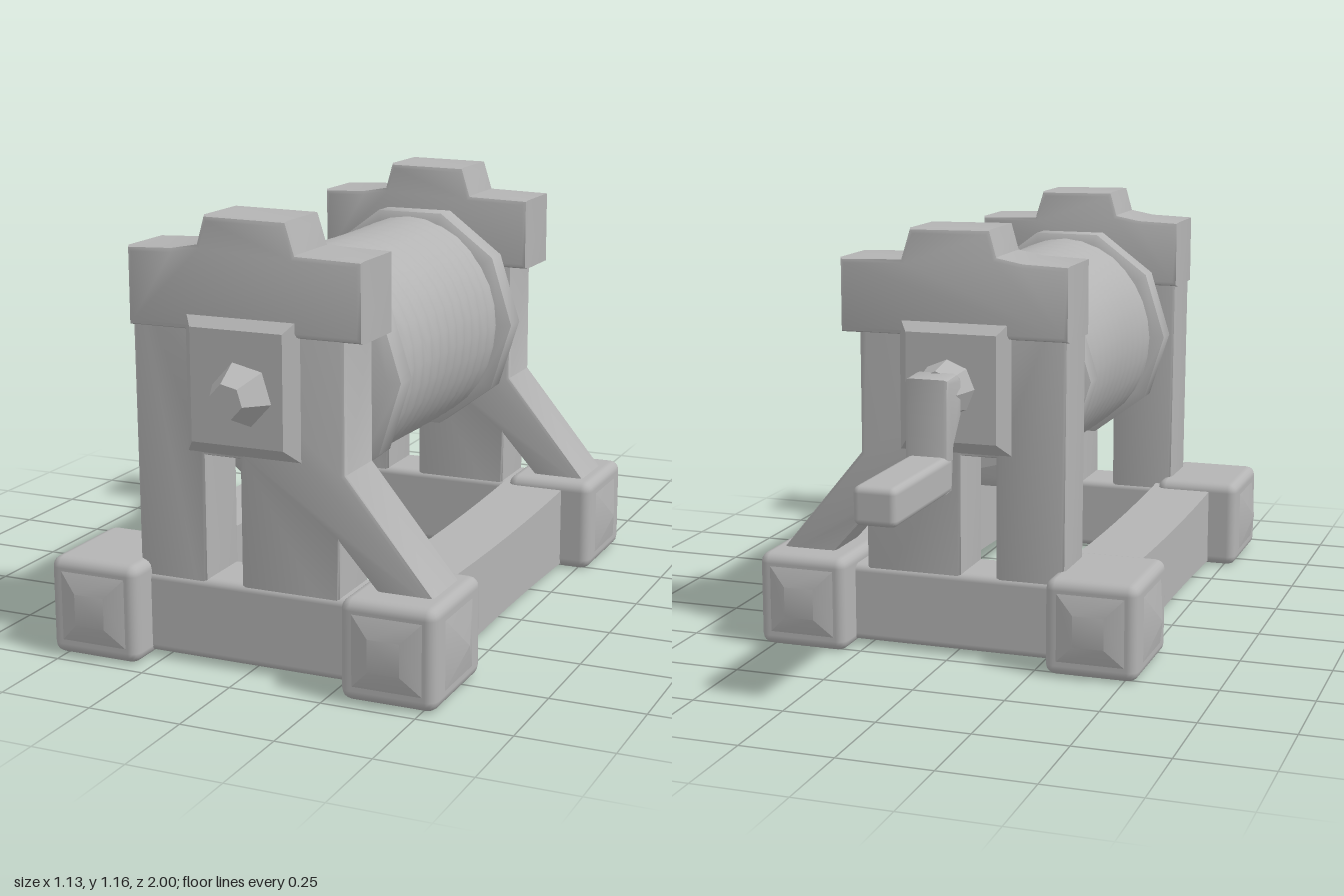
import * as THREE from 'three';
import { toCreasedNormals } from 'three/addons/utils/BufferGeometryUtils.js';
import { RoundedBoxGeometry } from 'three/addons/geometries/RoundedBoxGeometry.js';

const AXLE_Y = 0.737;

export function createModel() {
  const root = new THREE.Group();
  root.name = 'winch';
  const grey = new THREE.MeshStandardMaterial({ color: 0xb4b4b4 });
  grey.name = 'plain grey';

  function add(name, geo, x = 0, y = 0, z = 0) {
    const mesh = new THREE.Mesh(geo, grey);
    mesh.name = name;
    mesh.position.set(x, y, z);
    root.add(mesh);
    return mesh;
  }

  // Box given by its limits, with softened edges
  function block(name, x0, x1, y0, y1, z0, z1, r = 0.025) {
    return add(name, new RoundedBoxGeometry(x1 - x0, y1 - y0, z1 - z0, 2, r),
      (x0 + x1) / 2, (y0 + y1) / 2, (z0 + z1) / 2);
  }

  // Bevelled slab from an outline and optional holes, centred in depth
  function slab(points, holes, depth, bevel) {
    const v = (list) => list.map(([x, y]) => new THREE.Vector2(x, y));
    const shape = new THREE.Shape(v(points));
    for (const h of holes) shape.holes.push(new THREE.Path(v(h)));
    const geo = new THREE.ExtrudeGeometry(shape, {
      depth: depth - 2 * bevel, bevelEnabled: true, bevelThickness: bevel,
      bevelSize: bevel, bevelOffset: -bevel, bevelSegments: 2,
    });
    geo.translate(0, 0, bevel - depth / 2);
    return toCreasedNormals(geo, 0.7);
  }

  // Tapered prism along z, pointing to dir
  function taper(rEnd, rBase, length, sides, dir, spin = 0) {
    const geo = new THREE.CylinderGeometry(rEnd, rBase, length, sides);
    geo.rotateY(spin);
    geo.rotateX(dir * Math.PI / 2);
    return toCreasedNormals(geo, 0.5);
  }

  // Two end frames: posts, diagonal brace and the plate around the axle
  const legs = [
    [-0.315, 0.12], [-0.12, 0.12], [-0.12, 0.56], [-0.025, 0.56], [-0.025, 0.12],
    [0.25, 0.12], [0.25, 0.375], [0.36, 0.25], [0.42, 0.17], [0.52, 0.24],
    [0.265, 0.55], [0.265, 0.9], [0.25, 1.03], [-0.32, 1.03],
  ];
  const header = [
    [-0.325, 0.88], [0.315, 0.88], [0.315, 1.08], [0.14, 1.085], [0.115, 1.165],
    [-0.11, 1.168], [-0.13, 1.098], [-0.2, 1.085], [-0.325, 1.08],
  ];
  for (const [end, dir, zc] of [['front', 1, 0.795], ['back', -1, -0.36]]) {
    add(end + 'FramePosts', slab(legs, [], 0.17, 0.012), 0, 0, zc);
    add(end + 'FrameHeader', slab(header, [], 0.192, 0.014), 0, 0, zc);
    const plate = add(end + 'BearingPlate', taper(0.19, 0.245, 0.045, 4, dir, Math.PI / 4), -0.01, 0.75, zc + dir * 0.1);
    plate.scale.set(0.94, 1.08, 1);
    add(end + 'BearingDisc', taper(0.23, 0.25, 0.06, 12, -dir), 0, AXLE_Y, zc - dir * 0.105);

    // Base beam across the end, and corner blocks with shallow pointed faces
    block(end + 'BaseBeam', -0.32, 0.32, 0.02, 0.236, zc - 0.09, zc + 0.09, 0.02);
    for (const side of [-1, 1]) {
      const x = side * 0.41, z = zc + dir * 0.015;
      block(end + 'CornerBlock', x - 0.127, x + 0.127, 0.007, 0.268, z - 0.155, z + 0.155, 0.028);
      const outer = new THREE.ConeGeometry(0.155, 0.035, 4);
      outer.rotateY(Math.PI / 4);
      outer.rotateZ(-side * Math.PI / 2);
      add(end + 'CornerSidePoint', toCreasedNormals(outer, 0.5), x + side * 0.138, 0.137, z);
      add(end + 'CornerEndPoint', taper(0.06, 0.145, 0.024, 4, dir, Math.PI / 4), x, 0.14, z + dir * 0.163);
    }
  }

  // Long side beams, slightly waisted in the middle
  for (const side of [-1, 1]) {
    const geo = new THREE.BoxGeometry(0.185, 0.225, 1.0, 1, 1, 8);
    const p = geo.attributes.position;
    for (let i = 0; i < p.count; i++) {
      const t = p.getZ(i) / 0.5;
      p.setY(i, p.getY(i) * (0.92 + 0.1 * t * t));
    }
    add('sideBeam', toCreasedNormals(geo, 0.6), side * 0.358, 0.13, 0.22);
  }

  // Drum flanges: chamfered ten-sided rims
  for (const z of [0.62, -0.18]) {
    const profile = [[0.02, -0.052], [0.295, -0.052], [0.325, -0.035], [0.325, 0.035], [0.295, 0.052], [0.02, 0.052]];
    const rim = new THREE.LatheGeometry(profile.map(([r, y]) => new THREE.Vector2(r, y)), 10);
    rim.rotateX(Math.PI / 2);
    rim.rotateZ(Math.PI / 10);
    const flange = add('drumFlange', toCreasedNormals(rim, 0.7), 0, AXLE_Y, z);
    flange.scale.x = 0.97;
  }

  // Wound rope: shallow slanted grooves with uneven turns
  const rope = new THREE.CylinderGeometry(0.285, 0.285, 0.74, 32, 64, true);
  rope.rotateX(Math.PI / 2);
  const rp = rope.attributes.position;
  for (let i = 0; i < rp.count; i++) {
    const x = rp.getX(i), y = rp.getY(i), z = rp.getZ(i);
    const a = Math.atan2(y, x);
    const groove = Math.abs(Math.sin(z * 52 + a * 0.5 * Math.sin(a) + 0.8 * Math.sin(2 * a)));
    const depth = 0.007 + 0.006 * Math.cos(a + 0.6);
    const k = 1 + (groove - 0.5) * depth * 3 + 0.008 * Math.sin(3 * a + z * 9);
    rp.setXY(i, x * k * 0.96, y * k * 1.03);
  }
  add('woundRope', toCreasedNormals(rope, 0.7), 0, AXLE_Y, 0.22);

  // Axle and its pointed front nub
  add('axle', taper(0.09, 0.09, 1.3, 8, 1), 0, AXLE_Y, 0.22);
  add('axleNub', taper(0.045, 0.095, 0.11, 6, 1, 0.3), 0.005, AXLE_Y, 0.945);

  // Crank: shaft, bent arm and handle
  add('crankShaft', taper(0.06, 0.085, 0.13, 8, -1), 0, 0.75, -0.505);
  const arm = slab([
    [-0.53, 0.79], [-0.56, 0.805], [-0.635, 0.8], [-0.64, 0.72], [-0.645, 0.5],
    [-0.6, 0.502], [-0.585, 0.62], [-0.53, 0.69],
  ].reverse(), [], 0.118, 0.012);
  arm.rotateY(-Math.PI / 2);
  add('crankArm', arm);
  const handle = new RoundedBoxGeometry(0.115, 0.1, 0.4, 2, 0.018);
  add('crankHandle', handle, -0.003, 0.55, -0.8);

  return root;
}
